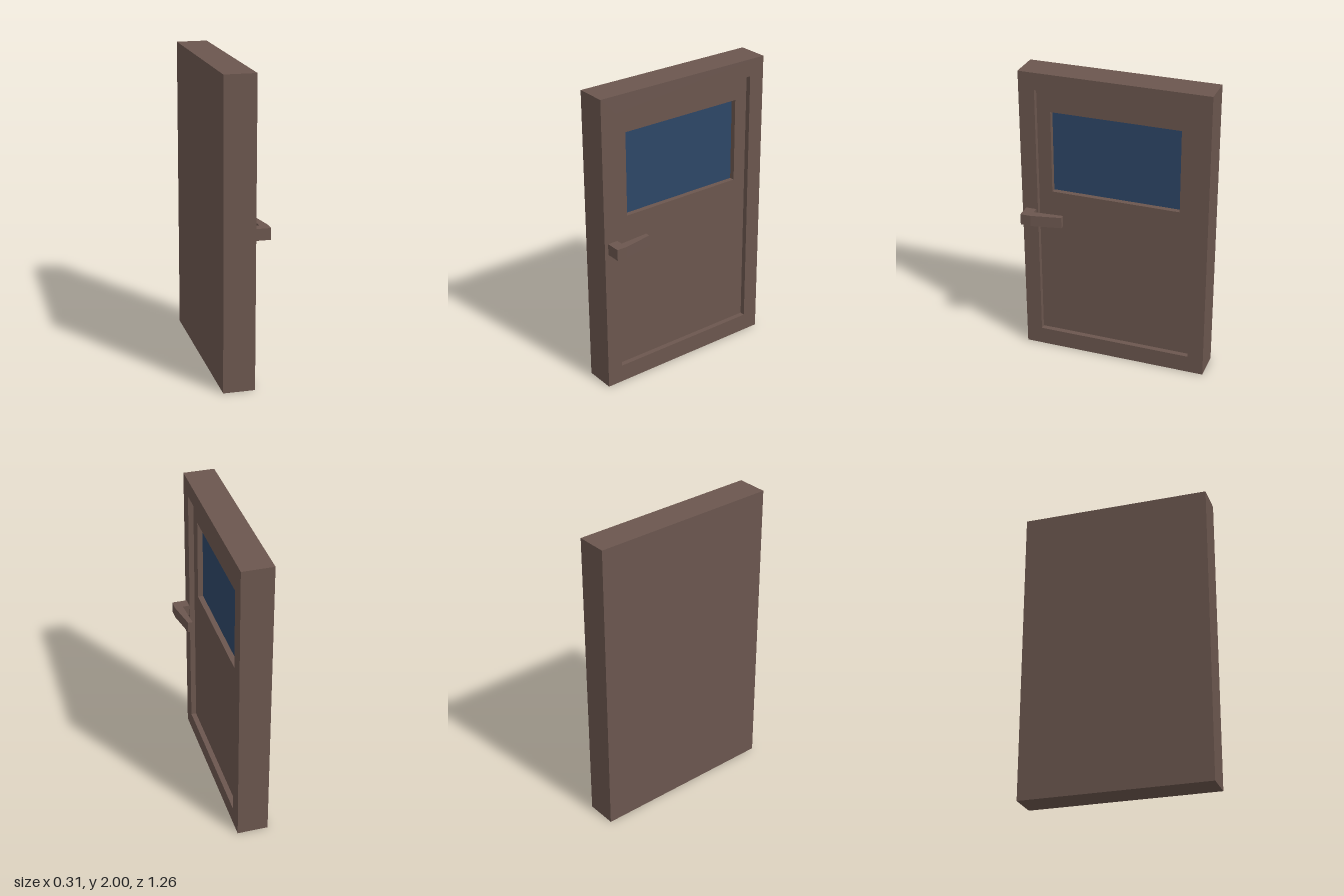
import * as THREE from 'three';

const wood = new THREE.MeshStandardMaterial({ color: 0x6b564e });
wood.name = 'brown wood';
const glass = new THREE.MeshStandardMaterial({ color: 0x2d4666 });
glass.name = 'blue glass';

// Depths along x, from the back of the door to its face
const BACK = -0.155, GLASS = -0.02, PANEL = 0.015, FACE = 0.05;

// Rectangle outline, symmetric in z
function rect(Type, halfWidth, y0, y1) {
  const path = new Type();
  path.moveTo(-halfWidth, y0);
  path.lineTo(halfWidth, y0);
  path.lineTo(halfWidth, y1);
  path.lineTo(-halfWidth, y1);
  path.closePath();
  return path;
}

// Upright board between two x depths, with an optional rectangular opening
function board(name, material, outer, hole, x0, x1) {
  const shape = rect(THREE.Shape, ...outer);
  if (hole) shape.holes.push(rect(THREE.Path, ...hole));
  const geometry = new THREE.ExtrudeGeometry(shape, { depth: x1 - x0, bevelEnabled: false });
  geometry.rotateY(Math.PI / 2).translate(x0, 0, 0);
  const mesh = new THREE.Mesh(geometry, material);
  mesh.name = name;
  return mesh;
}

export function createModel() {
  const door = new THREE.Group();
  door.name = 'door';

  const outline = [0.63, 0, 2];
  const leaf = [0.523, 0.12, 1.885];
  const pane = [0.432, 1.175, 1.735];

  // Solid back, raised frame, recessed leaf and deeper window
  door.add(
    board('backSlab', wood, outline, null, BACK, GLASS - 0.004),
    board('frame', wood, outline, leaf, GLASS - 0.004, FACE),
    board('leaf', wood, leaf, pane, GLASS - 0.004, PANEL),
    board('windowPane', glass, pane, null, GLASS - 0.004, GLASS)
  );

  // Lever handle: stub and tapering grip, drawn from above as x, z
  const profile = [
    [0.05, 0.605], [0.15, 0.605], [0.15, 0.535], [0.112, 0.335],
    [0.08, 0.335], [0.095, 0.535], [0.05, 0.535],
  ];
  const shape = new THREE.Shape(profile.map(([x, z]) => new THREE.Vector2(x, -z)));
  const lever = new THREE.ExtrudeGeometry(shape, { depth: 0.075, bevelEnabled: false });
  lever.rotateX(-Math.PI / 2).translate(0, 0.97, 0);
  const handle = new THREE.Mesh(lever, wood);
  handle.name = 'handle';
  door.add(handle);

  return door;
}
